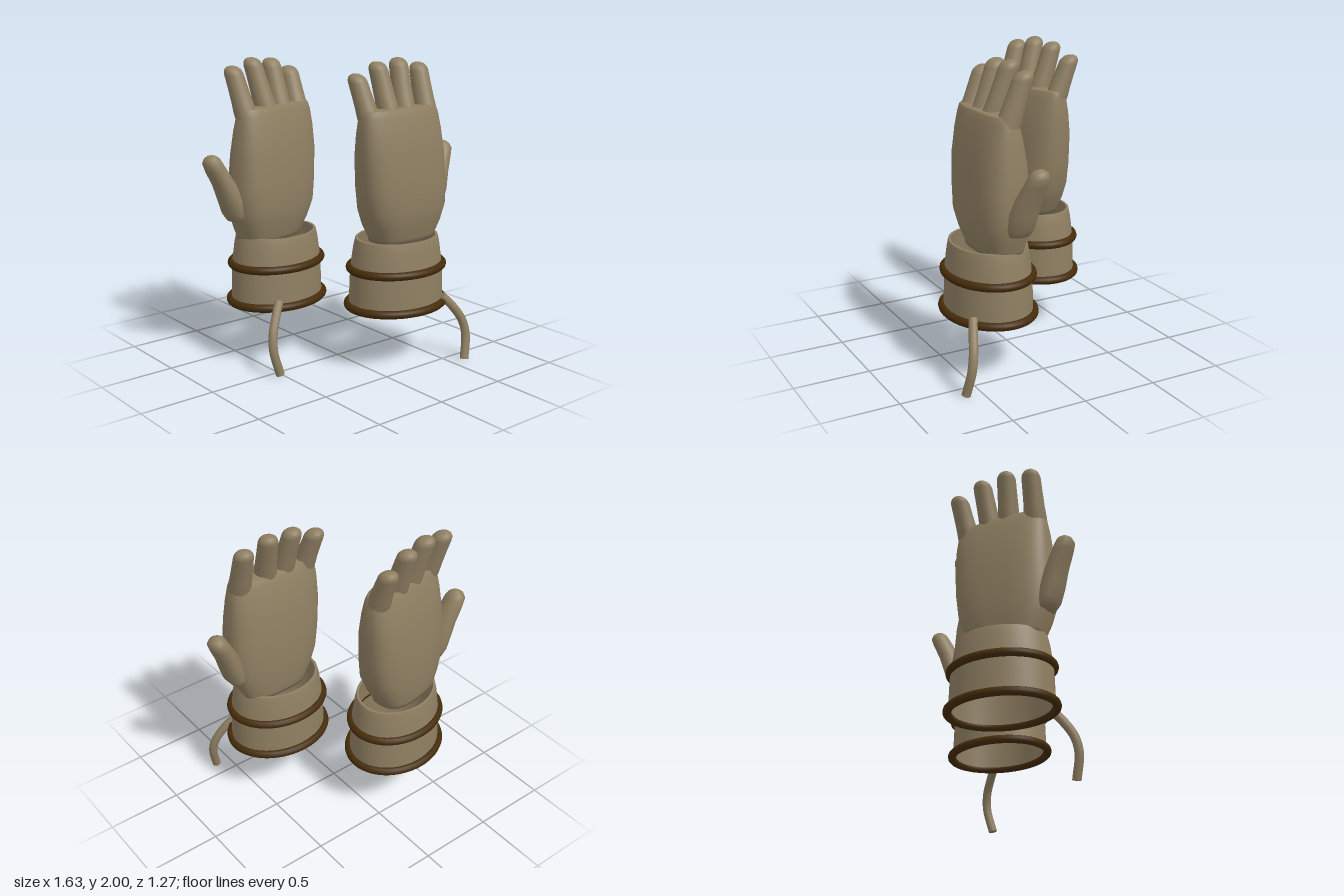
import * as THREE from 'three';

const leather = new THREE.MeshStandardMaterial({ color: 0x8f7f62, side: THREE.DoubleSide });
leather.name = 'tan leather';
const trim = new THREE.MeshStandardMaterial({ color: 0x452c0a });
trim.name = 'dark brown trim';

function add(parent, name, geometry, material = leather) {
  const mesh = new THREE.Mesh(geometry, material);
  mesh.name = name;
  parent.add(mesh);
  return mesh;
}

// Skin through horizontal superellipse sections [x, y, z, rx, rz], bottom to top
function loft(sections, power = 2, n = 32) {
  const pos = [], index = [];
  const round = (v) => Math.sign(v) * Math.abs(v) ** (2 / power);
  sections.forEach(([x, y, z, rx, rz], s) => {
    for (let i = 0; i < n; i++) {
      const a = (i / n) * Math.PI * 2;
      pos.push(x + rx * round(Math.cos(a)), y, z + rz * round(Math.sin(a)));
      if (s === sections.length - 1) continue;
      const p = s * n + i, q = s * n + (i + 1) % n;
      index.push(p, p + n, q, q, p + n, q + n);
    }
  });
  const g = new THREE.BufferGeometry();
  g.setAttribute('position', new THREE.Float32BufferAttribute(pos, 3));
  g.setIndex(index);
  g.computeVertexNormals();
  return g;
}

// Tapered finger leaning back toward a domed tip
function finger(x0, x1, top) {
  const y0 = 1.56, dome = 0.055, sections = [];
  const at = (y, r) => {
    const t = (y - y0) / (top - y0);
    sections.push([x0 + (x1 - x0) * t, y, 0.02 - 0.135 * t, r, r * (1.15 - 0.15 * t)]);
  };
  for (const [t, r] of [[0, 0.07], [0.3, 0.072], [0.5, 0.067], [0.75, 0.064]]) at(y0 + (top - dome - y0) * t, r);
  for (let i = 0; i <= 6; i++) {
    const a = (i / 6) * Math.PI / 2;
    at(top - dome + dome * Math.sin(a), 0.062 * Math.cos(a) ** 0.8);
  }
  return loft(sections, 2, 20);
}

// Elliptical welt around the cuff
function welt(rx, rz, y) {
  const pts = [];
  for (let i = 0; i < 32; i++) {
    const a = (i / 32) * Math.PI * 2;
    pts.push(new THREE.Vector3(rx * Math.cos(a), y, rz * Math.sin(a)));
  }
  return new THREE.TubeGeometry(new THREE.CatmullRomCurve3(pts, true), 72, 0.027, 12, true);
}

// s = 1 puts the thumb on +x, s = -1 on -x
function makeGlove(name, s) {
  const glove = new THREE.Group();
  glove.name = name;
  const side = (rows) => rows.map(([x, ...rest]) => [s * x, ...rest]);

  add(glove, 'palm', loft(side([
    [0.055, 0.83, -0.015, 0, 0],
    [0.055, 0.83, -0.015, 0.235, 0.138],
    [0.055, 0.86, -0.015, 0.242, 0.146],
    [0.048, 0.94, -0.008, 0.282, 0.163],
    [0.041, 1.05, 0, 0.318, 0.178],
    [0.033, 1.2, 0, 0.332, 0.174],
    [0.018, 1.4, 0, 0.332, 0.16],
    [0.01, 1.55, 0, 0.323, 0.132],
    [0.006, 1.65, 0, 0.311, 0.105],
    [0.004, 1.69, 0, 0.298, 0.09],
    [0.003, 1.697, 0, 0.288, 0.083],
    [0.003, 1.7, 0, 0, 0],
  ]), 2.8, 48));

  const fingers = [
    ['indexFinger', 0.245, 0.268, 1.96], ['middleFinger', 0.055, 0.092, 2.0],
    ['ringFinger', -0.065, -0.088, 1.985], ['littleFinger', -0.225, -0.262, 1.92],
  ];
  for (const [label, x0, x1, top] of fingers) add(glove, label, finger(s * x0, s * x1, top));

  add(glove, 'thumb', loft(side([
    [0.33, 0.97, -0.04, 0, 0],
    [0.335, 0.98, -0.04, 0.045, 0.07],
    [0.35, 1.03, -0.04, 0.068, 0.09],
    [0.375, 1.12, -0.045, 0.074, 0.094],
    [0.41, 1.22, -0.06, 0.072, 0.085],
    [0.46, 1.32, -0.08, 0.068, 0.074],
    [0.483, 1.37, -0.087, 0.063, 0.068],
    [0.485, 1.4, -0.09, 0.048, 0.052],
    [0.485, 1.417, -0.09, 0.025, 0.028],
    [0.485, 1.421, -0.09, 0, 0],
  ]), 2, 20));

  // Hollow flared cuff, squeezed to an ellipse
  const profile = [
    [0.315, 0.41], [0.337, 0.41], [0.338, 0.414], [0.33, 0.64], [0.323, 0.7], [0.308, 0.8],
    [0.295, 0.856], [0.291, 0.86], [0.277, 0.86], [0.275, 0.856], [0.3, 0.7], [0.314, 0.414],
  ].map(([x, y]) => new THREE.Vector2(x, y));
  add(glove, 'cuff', new THREE.LatheGeometry(profile, 64).scale(1, 1, 0.8));
  add(glove, 'lowerWelt', welt(0.343, 0.279, 0.41), trim);
  add(glove, 'upperWelt', welt(0.331, 0.266, 0.66), trim);

  // Hanging strap with closed ends
  const path = new THREE.CatmullRomCurve3([
    [0.215, 0.45, 0.215], [0.285, 0.37, 0.25], [0.345, 0.27, 0.28], [0.362, 0.17, 0.3], [0.33, 0.012, 0.325],
  ].map(([x, y, z]) => new THREE.Vector3(s * x, y, z)));
  add(glove, 'strap', new THREE.TubeGeometry(path, 32, 0.029, 12));
  for (const t of [0, 1]) {
    const cap = add(glove, 'strapEnd', new THREE.CircleGeometry(0.029, 12));
    const p = path.getPoint(t);
    cap.position.copy(p);
    cap.lookAt(p.clone().addScaledVector(path.getTangent(t), t ? 1 : -1));
  }
  return glove;
}

export function createModel() {
  const model = new THREE.Group();
  model.name = 'pairOfGloves';
  const left = makeGlove('leftGlove', 1);
  left.position.set(0.27, 0, 0.28);
  const right = makeGlove('rightGlove', -1);
  right.position.set(-0.26, 0, -0.33);
  right.rotation.y = 0.2;
  model.add(left, right);
  return model;
}
